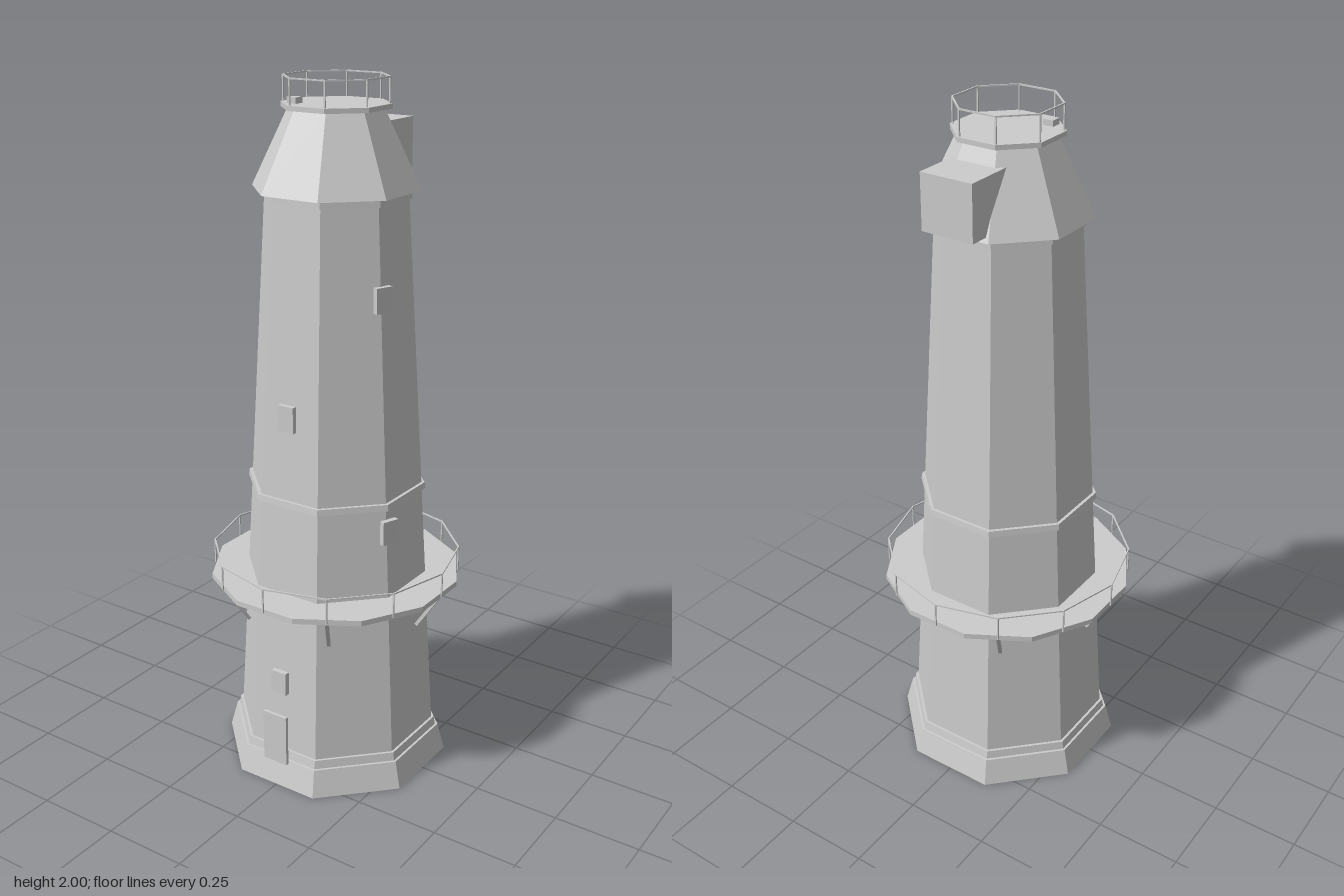
import * as THREE from 'three';

const stone = new THREE.MeshStandardMaterial({ color: 0xcccccc, flatShading: true });
stone.name = 'pale grey';

export function createModel() {
  const model = new THREE.Group();
  model.name = 'millTower';

  const add = (name, geometry, x = 0, y = 0, z = 0, parent = model) => {
    const mesh = new THREE.Mesh(geometry, stone);
    mesh.name = name;
    mesh.position.set(x, y, z);
    parent.add(mesh);
    return mesh;
  };

  // Tapered prism with flat sides facing the axes; sizes are centre-to-flat distances
  const prism = (name, bottom, top, y0, y1, sides = 8) => {
    const k = 1 / Math.cos(Math.PI / sides);
    return add(name, new THREE.CylinderGeometry(top * k, bottom * k, y1 - y0, sides, 1, false, Math.PI / sides),
      0, (y0 + y1) / 2, 0);
  };

  // Square bar between two points
  const bar = (name, a, b, t, parent) => {
    const mesh = add(name, new THREE.BoxGeometry(t, t, a.distanceTo(b)), 0, 0, 0, parent);
    mesh.position.copy(a).add(b).multiplyScalar(0.5);
    mesh.lookAt(b);
  };

  const polar = (r, angle, y) => new THREE.Vector3(Math.sin(angle) * r, y, Math.cos(angle) * r);

  // Posts at the corners and a top rail joining them
  const railing = (name, r, sides, offset, y0, y1) => {
    const group = new THREE.Group();
    group.name = name;
    const step = (Math.PI * 2) / sides;
    for (let i = 0; i < sides; i++) {
      const a = offset + i * step;
      bar('railPost', polar(r, a, y0), polar(r, a, y1), 0.004, group);
      bar('topRail', polar(r, a, y1 - 0.002), polar(r, a + step, y1 - 0.002), 0.004, group);
    }
    model.add(group);
  };

  // Tower body with its plinth and trim bands
  prism('plinth', 0.312, 0.292, 0, 0.08);
  prism('plinthBand', 0.285, 0.281, 0.08, 0.105);
  prism('tower', 0.275, 0.184, 0.08, 1.69);
  prism('middleBand', 0.241, 0.239, 0.857, 0.875);
  prism('upperBand', 0.191, 0.19, 1.685, 1.71);

  // Cap with rear housing and roof deck
  prism('cap', 0.215, 0.12, 1.707, 1.918);
  prism('roofDeck', 0.139, 0.139, 1.917, 1.93);
  add('rearHousing', new THREE.BoxGeometry(0.156, 0.153, 0.185), 0, 1.797, -0.171);
  add('roofHatch', new THREE.BoxGeometry(0.03, 0.02, 0.03), -0.079, 1.936, 0.077);
  railing('roofRailing', 0.132 / Math.cos(Math.PI / 8), 8, Math.PI / 8, 1.93, 2);

  // Gallery around the tower with railing and six struts
  prism('gallery', 0.355, 0.355, 0.578, 0.594, 12);
  railing('galleryRailing', 0.36, 12, 0, 0.585, 0.66);
  for (let i = 0; i < 6; i++) {
    const a = Math.PI / 2 + (i * Math.PI) / 3;
    bar('galleryStrut', polar(0.35, a, 0.58), polar(0.281, a, 0.475), 0.01);
  }

  // Door and windows
  add('door', new THREE.BoxGeometry(0.08, 0.156, 0.01), 0, 0.159, 0.311);
  add('lowerFrontWindow', new THREE.BoxGeometry(0.05, 0.07, 0.016), 0, 0.331, 0.286);
  add('upperFrontWindow', new THREE.BoxGeometry(0.05, 0.074, 0.015), 0, 1.118, 0.236);
  for (const [r, y] of [[0.257, 0.792], [0.215, 1.443]]) {
    const p = polar(r, THREE.MathUtils.degToRad(69), y);
    add('sideWindow', new THREE.BoxGeometry(0.05, 0.07, 0.016), p.x, p.y, p.z)
      .rotation.y = THREE.MathUtils.degToRad(69);
  }

  return model;
}
